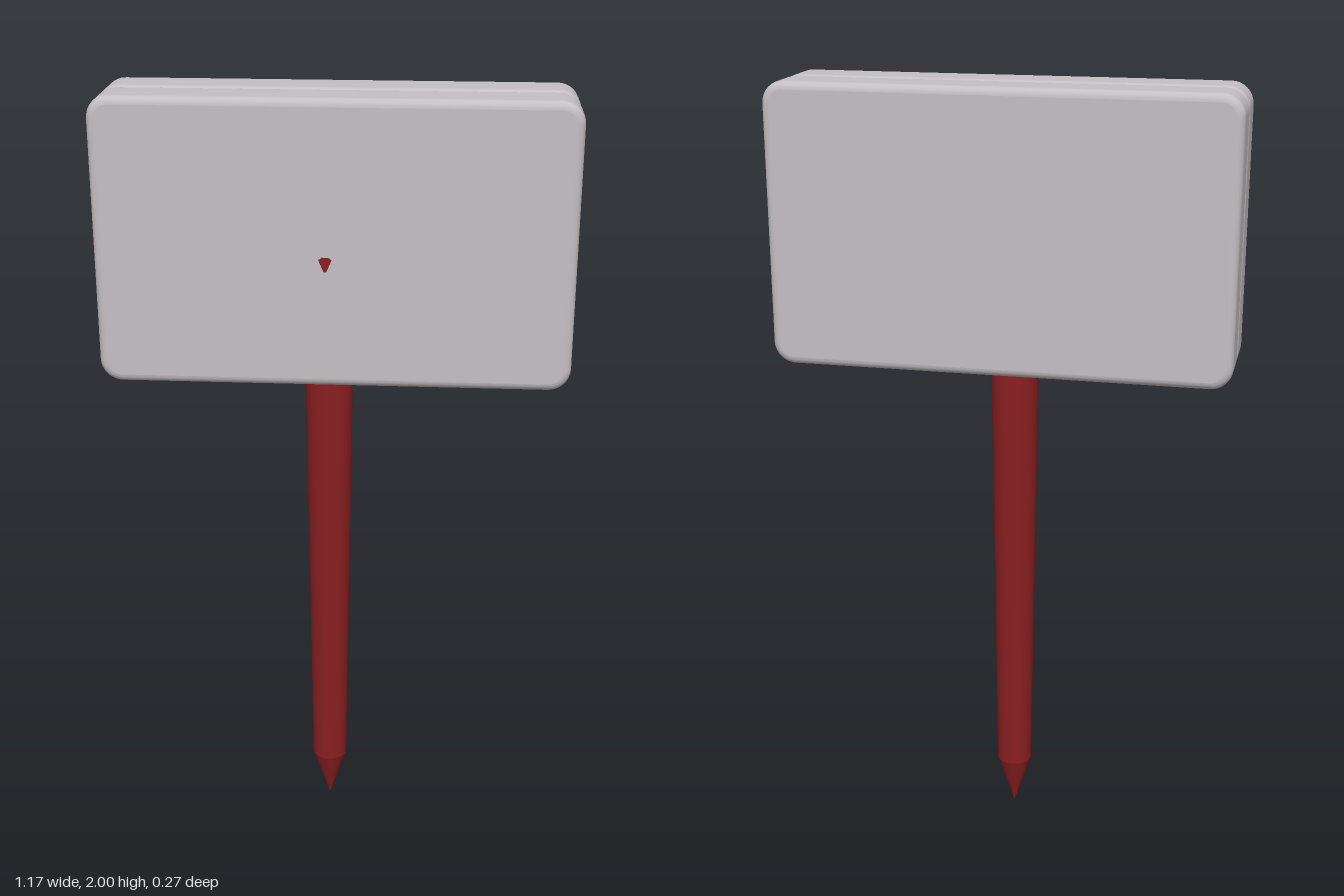
import * as THREE from 'three';

const grey = new THREE.MeshStandardMaterial({ name: 'paleGrey', color: 0xc4bfc2 });
const red = new THREE.MeshStandardMaterial({ name: 'darkRed', color: 0x8a1f21 });

// Rounded rectangle centred on the origin
function roundedRect(w, h, r) {
  const s = new THREE.Shape();
  const x = w / 2, y = h / 2;
  s.absarc(x - r, y - r, r, 0, Math.PI / 2);
  s.absarc(-x + r, y - r, r, Math.PI / 2, Math.PI);
  s.absarc(-x + r, -y + r, r, Math.PI, Math.PI * 1.5);
  s.absarc(x - r, -y + r, r, Math.PI * 1.5, Math.PI * 2);
  s.closePath();
  return s;
}

// Smooth slab: loops of a rounded rectangle swept round the edge, plus flat faces
function slabGeometry(w, h, d, corner, bevel) {
  const loops = [], steps = 5;
  for (let i = 0; i <= steps; i++) {
    const a = (i / steps) * Math.PI / 2;
    loops.push([bevel * (1 - Math.sin(a)), -d / 2 + bevel * (1 - Math.cos(a))]);
  }
  for (let i = steps; i >= 0; i--) loops.push([loops[i][0], -loops[i][1]]);

  const pos = [], idx = [], perCorner = 8, n = 4 * (perCorner + 1);
  for (const [inset, z] of loops) {
    const r = corner - inset;
    for (let c = 0; c < 4; c++) {
      const cx = (c === 0 || c === 3 ? 1 : -1) * (w / 2 - corner);
      const cy = (c < 2 ? 1 : -1) * (h / 2 - corner);
      for (let k = 0; k <= perCorner; k++) {
        const a = (c + k / perCorner) * Math.PI / 2;
        pos.push(cx + r * Math.cos(a), cy + r * Math.sin(a), z);
      }
    }
  }
  for (let j = 0; j < loops.length - 1; j++) {
    for (let i = 0; i < n; i++) {
      const a = j * n + i, b = j * n + (i + 1) % n;
      idx.push(a, b, b + n, a, b + n, a + n);
    }
  }
  const g = new THREE.BufferGeometry();
  g.setAttribute('position', new THREE.Float32BufferAttribute(pos, 3));
  g.setIndex(idx);
  g.computeVertexNormals();
  return g;
}

export function createModel() {
  const model = new THREE.Group();
  model.name = 'signpost';
  const add = (parent, name, geometry, material, x, y, z) => {
    const mesh = new THREE.Mesh(geometry, material);
    mesh.name = name;
    mesh.position.set(x, y, z);
    parent.add(mesh);
    return mesh;
  };

  // Two rounded boards back to back
  const W = 1.17, H = 0.71, D = 0.131, corner = 0.055, bevel = 0.02;
  const rim = slabGeometry(W, H, D, corner, bevel);
  const face = new THREE.ShapeGeometry(roundedRect(W - 2 * bevel, H - 2 * bevel, corner - bevel), 8);
  for (const [name, z] of [['frontBoard', 0.066], ['backBoard', -0.068]]) {
    const board = new THREE.Group();
    board.name = name;
    board.position.set(0, 1.645, z);
    add(board, name + 'Rim', rim, grey, 0, 0, 0);
    add(board, name + 'Front', face, grey, 0, 0, D / 2);
    add(board, name + 'Back', face, grey, 0, 0, -D / 2).rotation.y = Math.PI;
    model.add(board);
  }

  // Tapered stake with a pointed foot
  const shaft = new THREE.CylinderGeometry(0.062, 0.046, 1.21, 32);
  add(model, 'stakeShaft', shaft, red, -0.02, 0.745, 0);
  const tip = new THREE.CylinderGeometry(0.046, 0.001, 0.14, 32);
  add(model, 'stakeTip', tip, red, -0.02, 0.07, 0);

  // Small wedge-shaped mark on the front board
  const mark = new THREE.Shape([
    [-0.016, 0.01], [-0.003, -0.02], [0.003, -0.02], [0.016, 0.01], [0.008, 0.016], [-0.008, 0.016],
  ].map(([x, y]) => new THREE.Vector2(x, y)));
  const plate = new THREE.ExtrudeGeometry(mark, { depth: 0.004, bevelEnabled: false });
  add(model, 'frontMark', plate, red, -0.02, 1.605, 0.13);

  return model;
}
